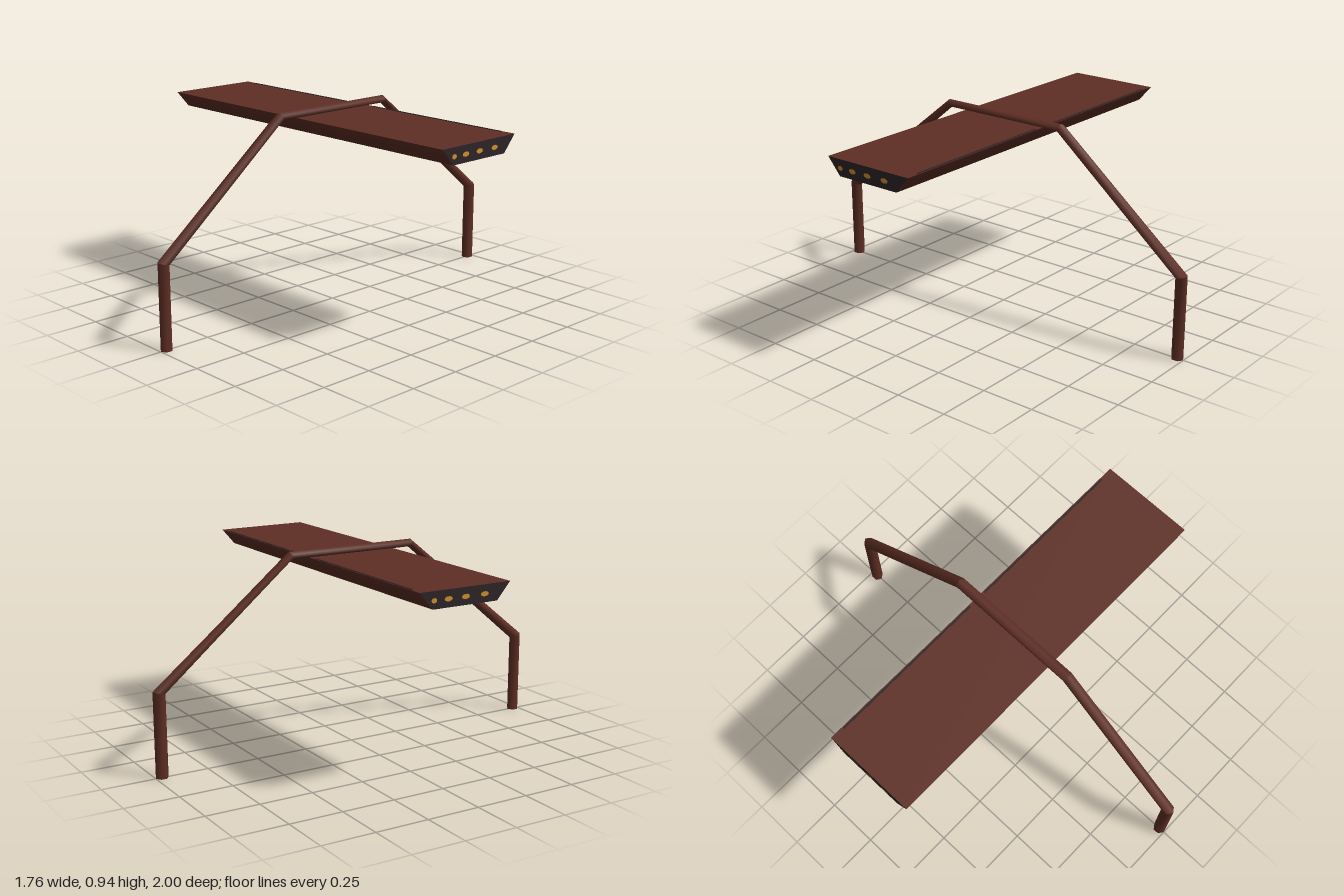
import * as THREE from 'three';

const rust = new THREE.MeshStandardMaterial({ color: 0x5e2e24 });
rust.name = 'rust brown';
const dark = new THREE.MeshStandardMaterial({ color: 0x2d2427 });
dark.name = 'charcoal';
const amber = new THREE.MeshStandardMaterial({ color: 0xd0902e });
amber.name = 'amber';

const LENGTH = 1.76, TOP = 0.905, BOTTOM = 0.83, TOP_Z = 0.225, BOTTOM_Z = 0.16;

function addMesh(parent, name, geometry, material) {
  const mesh = new THREE.Mesh(geometry, material);
  mesh.name = name;
  parent.add(mesh);
  return mesh;
}

function indexedGeometry(positions, index) {
  const g = new THREE.BufferGeometry();
  g.setAttribute('position', new THREE.Float32BufferAttribute(positions, 3));
  g.setIndex(index);
  g.computeVertexNormals();
  return g;
}

// Six-sided bar between two mitred joints, each given by its outer and inner [z, y]
function barGeometry(joints) {
  const half = 0.0235;
  const ring = [[0, 0], [0.27, half], [0.73, half], [1, 0], [0.73, -half], [0.27, -half]];
  const positions = [], index = [];
  for (const [outer, inner] of joints) {
    for (const [t, x] of ring) {
      positions.push(x, THREE.MathUtils.lerp(outer[1], inner[1], t), THREE.MathUtils.lerp(outer[0], inner[0], t));
    }
  }
  for (let j = 0; j < 6; j++) {
    const k = (j + 1) % 6;
    index.push(j, k, k + 6, j, k + 6, j + 6);
  }
  return indexedGeometry(positions, index);
}

// Arched frame: legs, slopes and top rail
function buildFrame() {
  const frame = new THREE.Group();
  frame.name = 'archedFrame';
  const half = [
    [[1, 0], [0.94, 0]],
    [[1, 0.395], [0.94, 0.378]],
    [[0.325, 0.94], [0.312, 0.904]],
  ];
  const back = half.map(pair => pair.map(([z, y]) => [-z, y])).reverse();
  const joints = [...half, ...back];
  const names = ['frontLeg', 'frontSlope', 'topRail', 'backSlope', 'backLeg'];
  names.forEach((name, i) => addMesh(frame, name, barGeometry([joints[i], joints[i + 1]]), rust));

  // Soles closing the legs
  for (const s of [1, -1]) {
    const sole = addMesh(frame, 'legSole', new THREE.CircleGeometry(0.027, 6, Math.PI / 2), rust);
    sole.rotation.x = Math.PI / 2;
    sole.position.set(0, 0.001, 0.97 * s);
  }
  return frame;
}

// Long tray-shaped beam hung below the rail
function buildBeam() {
  const beam = new THREE.Group();
  beam.name = 'beam';
  const section = [[-TOP_Z, TOP], [-BOTTOM_Z, BOTTOM], [BOTTOM_Z, BOTTOM], [TOP_Z, TOP]];
  const positions = [], index = [];
  section.forEach(([z, y], i) => {
    positions.push(-LENGTH / 2, y, z, LENGTH / 2, y, z);
    const a = 2 * i;
    if (i < 3) index.push(a, a + 1, a + 2, a + 1, a + 3, a + 2);
  });
  addMesh(beam, 'beamUnderside', indexedGeometry(positions, index), rust);

  const top = addMesh(beam, 'beamTop', new THREE.PlaneGeometry(LENGTH, TOP_Z * 2), rust);
  top.rotation.x = -Math.PI / 2;
  top.position.y = TOP;

  // Thin dark seam along the rear edge
  for (const s of [1, -1]) {
    const seam = addMesh(beam, 'rearSeam', new THREE.BoxGeometry(0.77, 0.002, 0.008), dark);
    seam.position.set(0.43 * s, TOP + 0.001, -0.216);
  }

  // End plates with a row of amber lights
  const outline = new THREE.Shape([
    new THREE.Vector2(-BOTTOM_Z, BOTTOM), new THREE.Vector2(BOTTOM_Z, BOTTOM),
    new THREE.Vector2(TOP_Z, TOP), new THREE.Vector2(-TOP_Z, TOP),
  ]);
  for (const s of [1, -1]) {
    const end = new THREE.Group();
    end.name = s > 0 ? 'leftEnd' : 'rightEnd';
    end.rotation.y = s * Math.PI / 2;
    end.position.x = s * LENGTH / 2;
    addMesh(end, 'endPlate', new THREE.ShapeGeometry(outline), dark);
    for (const x of [-0.155, -0.085, 0, 0.095]) {
      const light = addMesh(end, 'endLight', new THREE.CircleGeometry(1, 10), amber);
      light.scale.set(x < -0.1 ? 0.014 : 0.02, 0.011, 1);
      light.position.set(x, 0.866, 0.002);
    }
    beam.add(end);
  }
  return beam;
}

export function createModel() {
  const model = new THREE.Group();
  model.name = 'hangingBeamOnArch';
  model.add(buildFrame(), buildBeam());
  return model;
}
